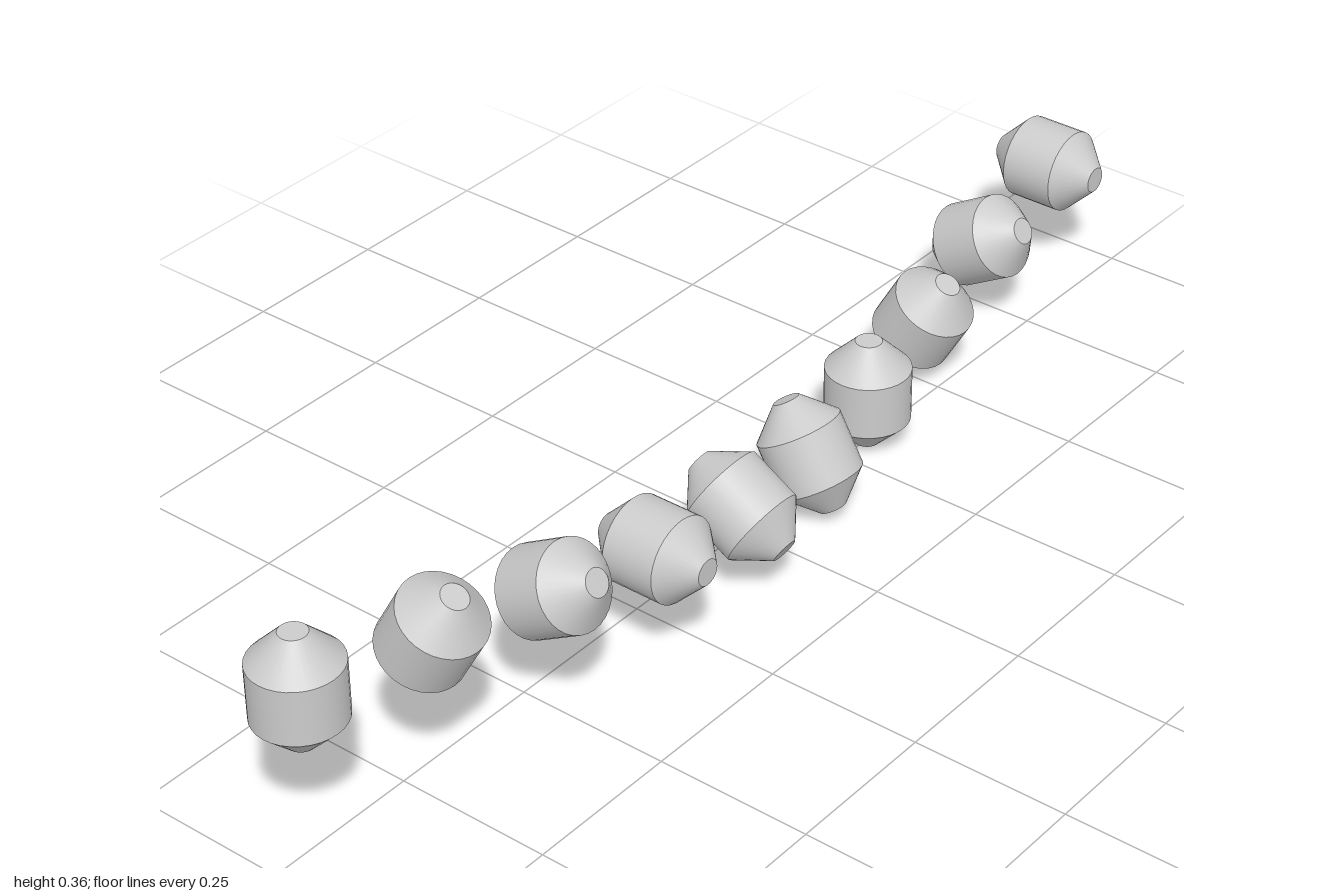
import * as THREE from 'three';
import { mergeGeometries } from 'three/addons/utils/BufferGeometryUtils.js';

const COUNT = 10;
const SPACING = 0.2071;
const STEP = Math.PI / 6; // turn between neighbouring beads
const RADIUS = 0.068;
const TIP = 0.021; // radius of the flat ends
const BEVEL = 0.047;
const LENGTH = 0.182;
const SIDES = 32;

// Bead along +y, standing on the origin: barrel with two truncated cones
function beadGeometry() {
  const body = LENGTH - 2 * BEVEL;
  const barrel = new THREE.CylinderGeometry(RADIUS, RADIUS, body, SIDES, 1, true);
  barrel.translate(0, LENGTH / 2, 0);
  const topCone = new THREE.CylinderGeometry(TIP, RADIUS, BEVEL, SIDES, 1, true);
  topCone.translate(0, LENGTH - BEVEL / 2, 0);
  const bottomCone = new THREE.CylinderGeometry(RADIUS, TIP, BEVEL, SIDES, 1, true);
  bottomCone.translate(0, BEVEL / 2, 0);
  const topEnd = new THREE.CircleGeometry(TIP, SIDES);
  topEnd.rotateX(-Math.PI / 2).translate(0, LENGTH, 0);
  const bottomEnd = new THREE.CircleGeometry(TIP, SIDES);
  bottomEnd.rotateX(Math.PI / 2);
  return mergeGeometries([barrel, topCone, bottomCone, topEnd, bottomEnd]);
}

export function createModel() {
  const model = new THREE.Group();
  model.name = 'beadSpiral';
  const material = new THREE.MeshStandardMaterial({ color: 0xcccccc });
  const geometry = beadGeometry();

  // Beads radiate from a common axis along x, each turned a step further
  for (let i = 0; i < COUNT; i++) {
    const bead = new THREE.Mesh(geometry, material);
    bead.name = `bead${i + 1}`;
    bead.position.set((i - (COUNT - 1) / 2) * SPACING, LENGTH, 0);
    bead.rotation.x = i * STEP;
    model.add(bead);
  }
  return model;
}
